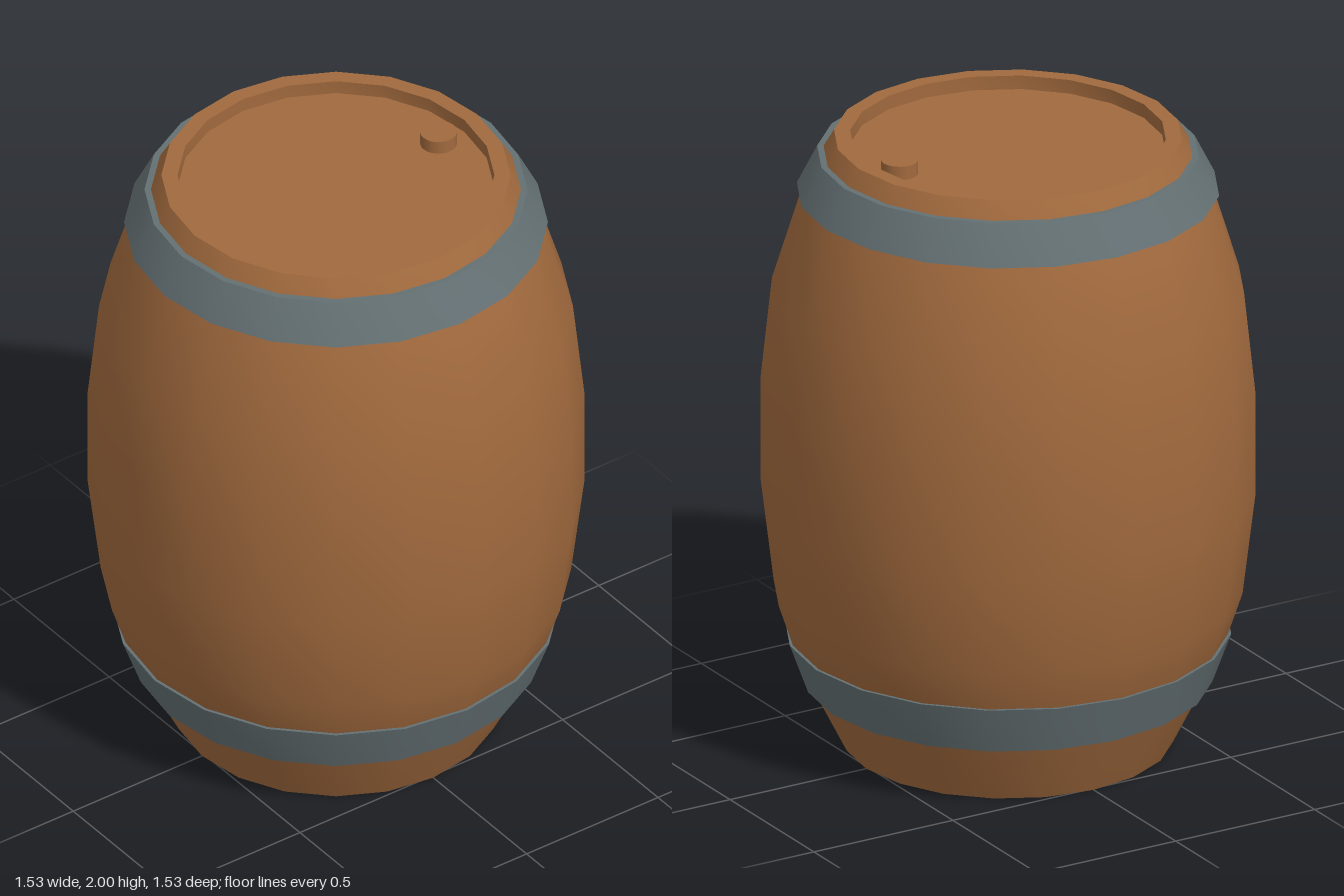
import * as THREE from 'three';
import { toCreasedNormals } from 'three/addons/utils/BufferGeometryUtils.js';

const SIDES = 20;

// Revolve a profile of [radius, height] points, keeping hard edges sharp
function revolve(name, profile, material) {
  const points = profile.map(([r, y]) => new THREE.Vector2(r, y));
  const geometry = toCreasedNormals(new THREE.LatheGeometry(points, SIDES), 0.6);
  const mesh = new THREE.Mesh(geometry, material);
  mesh.name = name;
  return mesh;
}

export function createModel() {
  const wood = new THREE.MeshStandardMaterial({ color: 0xa0693d });
  wood.name = 'wood';
  const metal = new THREE.MeshStandardMaterial({ color: 0x647073 });
  metal.name = 'metal';

  const barrel = new THREE.Group();
  barrel.name = 'barrel';

  // Bulging body with a recessed base and a recessed lid
  barrel.add(revolve('body', [
    [0, 0.025], [0.49, 0.025], [0.49, 0], [0.51, 0],
    [0.595, 0.17], [0.67, 0.335], [0.725, 0.5],
    [0.765, 0.83], [0.765, 1.17], [0.73, 1.5],
    [0.632, 1.82], [0.57, 1.945], [0.538, 2],
    [0.488, 2], [0.488, 1.955], [0, 1.955],
  ], wood));

  // Metal hoops, slanted to follow the body
  const hoop = (name, rLow, yLow, rHigh, yHigh, depth) => barrel.add(revolve(name, [
    [rLow - depth, yLow], [rLow, yLow], [rHigh, yHigh],
    [rHigh - depth, yHigh], [rLow - depth, yLow],
  ], metal));
  hoop('lowerHoop', 0.632, 0.205, 0.69, 0.365, 0.04);
  hoop('upperHoop', 0.653, 1.82, 0.59, 1.945, 0.04);

  // Small plug standing on the lid
  const plug = new THREE.Mesh(new THREE.CylinderGeometry(0.057, 0.057, 0.045, 24), wood);
  plug.name = 'plug';
  plug.position.set(0.39, 1.9765, 0);
  barrel.add(plug);

  return barrel;
}
